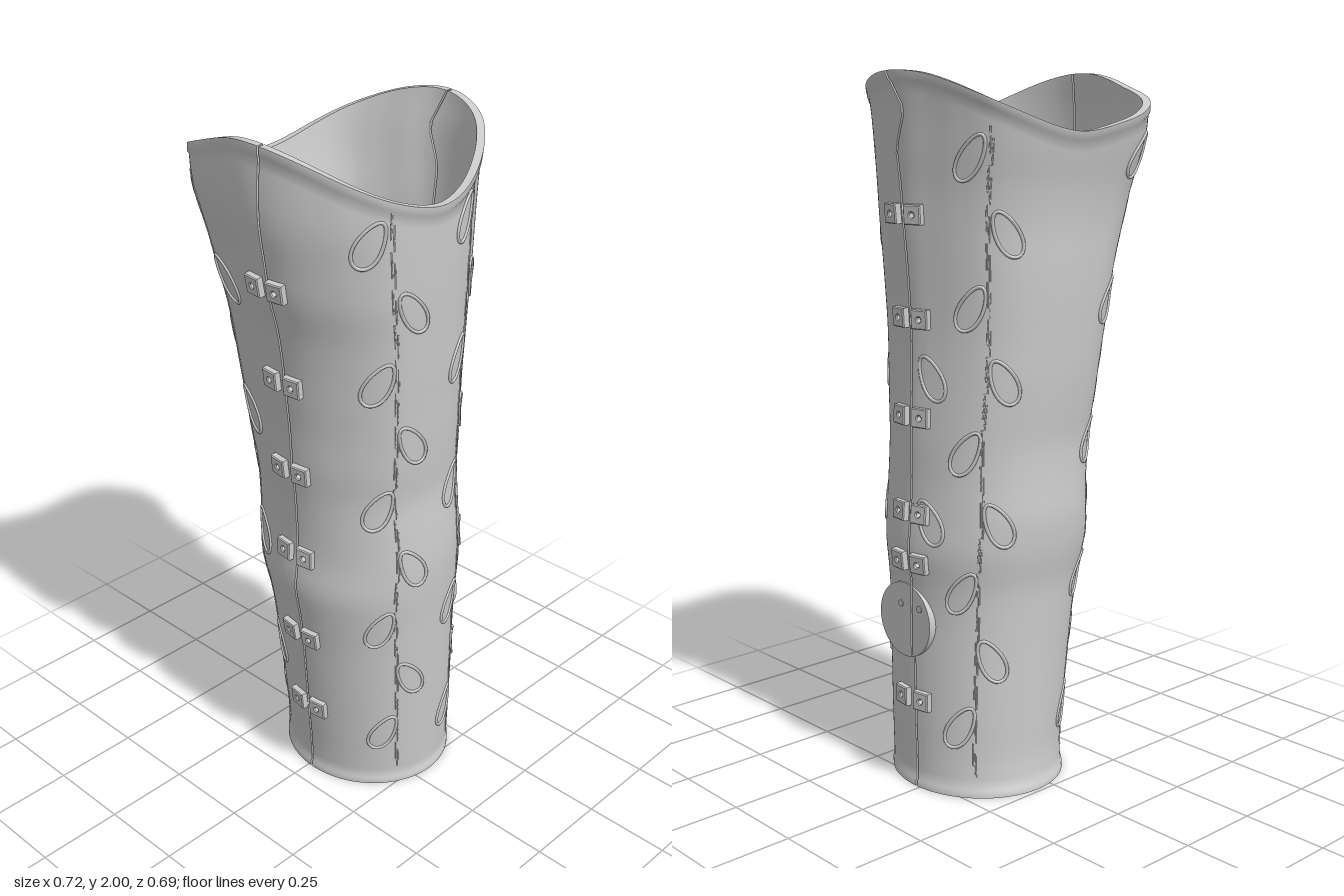
import * as THREE from 'three';
import { toCreasedNormals } from 'three/addons/utils/BufferGeometryUtils.js';

const material = new THREE.MeshStandardMaterial({ color: 0xcccccc });

// Reach of the shell to each side, every 0.1 in height
const LEFT = [.29, .288, .288, .287, .285, .283, .288, .298, .29, .285, .285, .283, .28, .28, .285, .293, .303, .312, .325, .338, .356];
const RIGHT = [.185, .19, .2, .21, .22, .23, .245, .26, .25, .25, .255, .265, .27, .28, .29, .305, .33, .345, .36, .36, .352];
const FRONT = [.275, .28, .285, .29, .295, .3, .305, .312, .315, .308, .3, .308, .315, .32, .326, .33, .335, .338, .34, .342, .345];
const BACK = [.235, .225, .226, .228, .23, .233, .238, .255, .262, .255, .252, .262, .272, .278, .284, .288, .292, .305, .328, .345, .35];
// Relative radius of the top outline, every 15 degrees from +x towards +z
const TOP = [.985, 1, 1.006, .99, .975, .975, .99, 1.02, 1.063, 1.055, 1.03, 1.015, 1, 1, 1.055, 1.18, 1.16, 1.03, .967, .962, .985, .99, .955, .942];
const WALL = 0.018;

// Smooth lookup in a table, optionally wrapping round
function sample(table, t, wrap = false) {
  const n = table.length;
  const at = (k) => table[wrap ? ((k % n) + n) % n : Math.min(n - 1, Math.max(0, k))];
  const i = Math.floor(t), f = t - i;
  const [a, b, c, d] = [at(i - 1), at(i), at(i + 1), at(i + 2)];
  return b + 0.5 * f * (c - a + f * (2 * a - 5 * b + 4 * c - d + f * (3 * (b - c) + d - a)));
}

function section(y) {
  const [l, r, f, b] = [LEFT, RIGHT, FRONT, BACK].map((t) => sample(t, y * 10));
  return { cx: (l - r) / 2, hx: (l + r) / 2, cz: (f - b) / 2, hz: (f + b) / 2 };
}

// Point on the outer surface, moved outwards by off
function surface(angle, y, off = 0) {
  const s = section(y);
  const blend = Math.pow(THREE.MathUtils.clamp(y / 1.85, 0, 1), 1.5);
  const k = 1 + (sample(TOP, (angle * 12) / Math.PI, true) - 1) * blend;
  return new THREE.Vector3(
    s.cx + (s.hx * k + off) * Math.cos(angle), y, s.cz + (s.hz * k + off) * Math.sin(angle));
}

function normalAt(angle, y) {
  const e = 0.01;
  const up = surface(angle, y + e).sub(surface(angle, y - e));
  const round = surface(angle + e, y).sub(surface(angle - e, y));
  return up.cross(round).normalize();
}

const rimHeight = (angle) => 1.845 + 0.155 * Math.pow(Math.abs(Math.cos(angle)), 1.8);

// Angle from the +x axis at which the surface passes depth z
function sideAngle(z, y) {
  const s = section(y);
  return Math.asin((z - s.cz) / s.hz);
}

// Depth of the side seam; the left one has a kink near the top
function seamDepth(y, left) {
  const kink = left ? 0.045 * Math.max(0, 1 - Math.abs(y - 1.9) / 0.1) : 0;
  return 0.012 + 0.02 * Math.min(1, y / 0.6) - kink;
}

// One half of the hollow shell, closed along rims and seams
function halfShell(front) {
  const cols = 72, gap = 0.003;
  const rows = [0, 0.009, 0.012];
  for (let i = 1; i < 64; i++) rows.push(0.012 + (0.974 * i) / 64);
  rows.push(0.986, 0.989, 1);
  const n = rows.length, pos = [], index = [];
  for (let i = 0; i <= cols; i++) {
    for (let j = 0; j < 2 * n; j++) {
      const inner = j >= n;
      const v = rows[inner ? 2 * n - 1 - j : j];
      const ySeam = v * 2;
      const g = front ? gap : -gap;
      const a = sideAngle(seamDepth(ySeam, true) + g, ySeam);
      const b = Math.PI - sideAngle(seamDepth(ySeam, false) + g, ySeam);
      const angle = front
        ? THREE.MathUtils.lerp(a, b, i / cols)
        : THREE.MathUtils.lerp(b, a + 2 * Math.PI, i / cols);
      const lip = v < 0.01 || v > 0.988 ? 0.004 : 0;
      const p = surface(angle, v * rimHeight(angle), inner ? -WALL : lip);
      pos.push(p.x, p.y, p.z);
    }
  }
  const m = 2 * n;
  for (let i = 0; i < cols; i++) {
    for (let j = 0; j < m; j++) {
      const a = i * m + j, b = i * m + ((j + 1) % m), c = a + m, d = b + m;
      index.push(a, b, c, b, d, c);
    }
  }
  // Seam faces
  for (let j = 0; j < n - 1; j++) {
    const a = j, b = j + 1, c = m - 1 - j, d = m - 2 - j, o = cols * m;
    index.push(a, c, b, b, c, d, o + a, o + b, o + c, o + b, o + d, o + c);
  }
  const g = new THREE.BufferGeometry();
  g.setAttribute('position', new THREE.Float32BufferAttribute(pos, 3));
  g.setIndex(index);
  return toCreasedNormals(g, 0.7);
}

function add(parent, geometry, name) {
  const mesh = new THREE.Mesh(geometry, material);
  mesh.name = name;
  parent.add(mesh);
  return mesh;
}

// Raised leaf outline hanging outwards from its vine
function addLeaf(parent, angle, y, side) {
  const points = [], tilt = 0.5 * side;
  for (let i = 0; i < 18; i++) {
    const t = (i / 18) * 2 * Math.PI;
    const u = 0.032 * Math.sin(t) * (1 - 0.2 * Math.cos(t)), w = 0.066 * Math.cos(t);
    const across = u * Math.cos(tilt) - w * Math.sin(tilt);
    const up = u * Math.sin(tilt) + w * Math.cos(tilt);
    const h = y + up;
    points.push(surface(angle + across / section(h).hx, h, 0.0005));
  }
  add(parent, new THREE.TubeGeometry(new THREE.CatmullRomCurve3(points, true), 36, 0.005, 6, true), 'leaf');
}

// Vine of two dashed ribs with alternating leaves
function vine(degrees) {
  const group = new THREE.Group();
  group.name = 'vine';
  const angle = THREE.MathUtils.degToRad(degrees);
  for (const shift of [-0.012, 0.012]) {
    for (let y = 0.06; y < 1.78; y += 0.1) {
      const start = y + (shift > 0 ? 0.03 : 0);
      const points = [0, 0.035, 0.07].map((d) => surface(angle + shift, start + d));
      add(group, new THREE.TubeGeometry(new THREE.CatmullRomCurve3(points), 4, 0.0025, 5), 'stem');
    }
  }
  for (let i = 0; i < 9; i++) {
    const side = i % 2 ? -1 : 1;
    addLeaf(group, angle + (side * 0.046) / 0.28, 1.78 - i * 0.197, side);
  }
  return group;
}

// Square eyelet plate with a round hole
function clipGeometry() {
  const s = 0.024;
  const shape = new THREE.Shape([[-s, -s], [s, -s], [s, s], [-s, s]].map((p) => new THREE.Vector2(...p)));
  shape.holes.push(new THREE.Path().absarc(0, 0, 0.01, 0, Math.PI * 2, true));
  return new THREE.ExtrudeGeometry(shape, {
    depth: 0.018, bevelSize: 0.003, bevelThickness: 0.003, bevelSegments: 1, curveSegments: 10 });
}

export function createModel() {
  const model = new THREE.Group();
  add(model, halfShell(true), 'frontShell');
  add(model, halfShell(false), 'backShell');

  for (const degrees of [62, 118, 225, 315]) model.add(vine(degrees));
  for (const y of [1.19, 0.79]) addLeaf(model, sideAngle(-0.04, y), y, -1);

  // Pairs of clips along both seams
  const clip = clipGeometry();
  const rowsOfClips = [[true, [1.63, 1.35, 1.08, 0.81, 0.67, 0.265]], [false, [1.63, 1.35, 1.08, 0.81, 0.53, 0.265]]];
  for (const [left, heights] of rowsOfClips) {
    for (const y of heights) {
      for (const z of [0.066, -0.011]) {
        const a = sideAngle(z, y), angle = left ? a : Math.PI - a;
        const mesh = add(model, clip, left ? 'leftClip' : 'rightClip');
        const normal = normalAt(angle, y);
        mesh.position.copy(surface(angle, y)).addScaledVector(normal, -0.003);
        mesh.lookAt(mesh.position.clone().add(normal));
      }
    }
  }

  // Flat round boss on the left side, split by the seam
  for (const front of [true, false]) {
    const cut = Math.asin(0.03 / 0.108), g = 0.03;
    const shape = new THREE.Shape();
    if (front) shape.absarc(0, 0, 0.108, -Math.PI / 2 - cut + g - Math.PI / 2 + Math.PI / 2, Math.PI / 2 + cut - g, false);
    else shape.absarc(0, 0, 0.108, Math.PI / 2 + cut + g, Math.PI * 1.5 - cut - g, false);
    const boss = add(model, new THREE.ExtrudeGeometry(shape, { depth: 0.035, bevelEnabled: false, curveSegments: 40 }), 'roundBoss');
    // Shape x runs towards the front, extrusion runs towards -x
    boss.rotation.y = -Math.PI / 2;
    boss.position.set(0.291, 0.49, 0.06);
  }
  for (const z of [0.075, -0.005]) {
    const pin = add(model, new THREE.CylinderGeometry(0.01, 0.01, 0.006, 16), 'bossPin');
    pin.rotation.z = Math.PI / 2;
    pin.position.set(0.291, 0.535, z);
  }
  return model;
}
